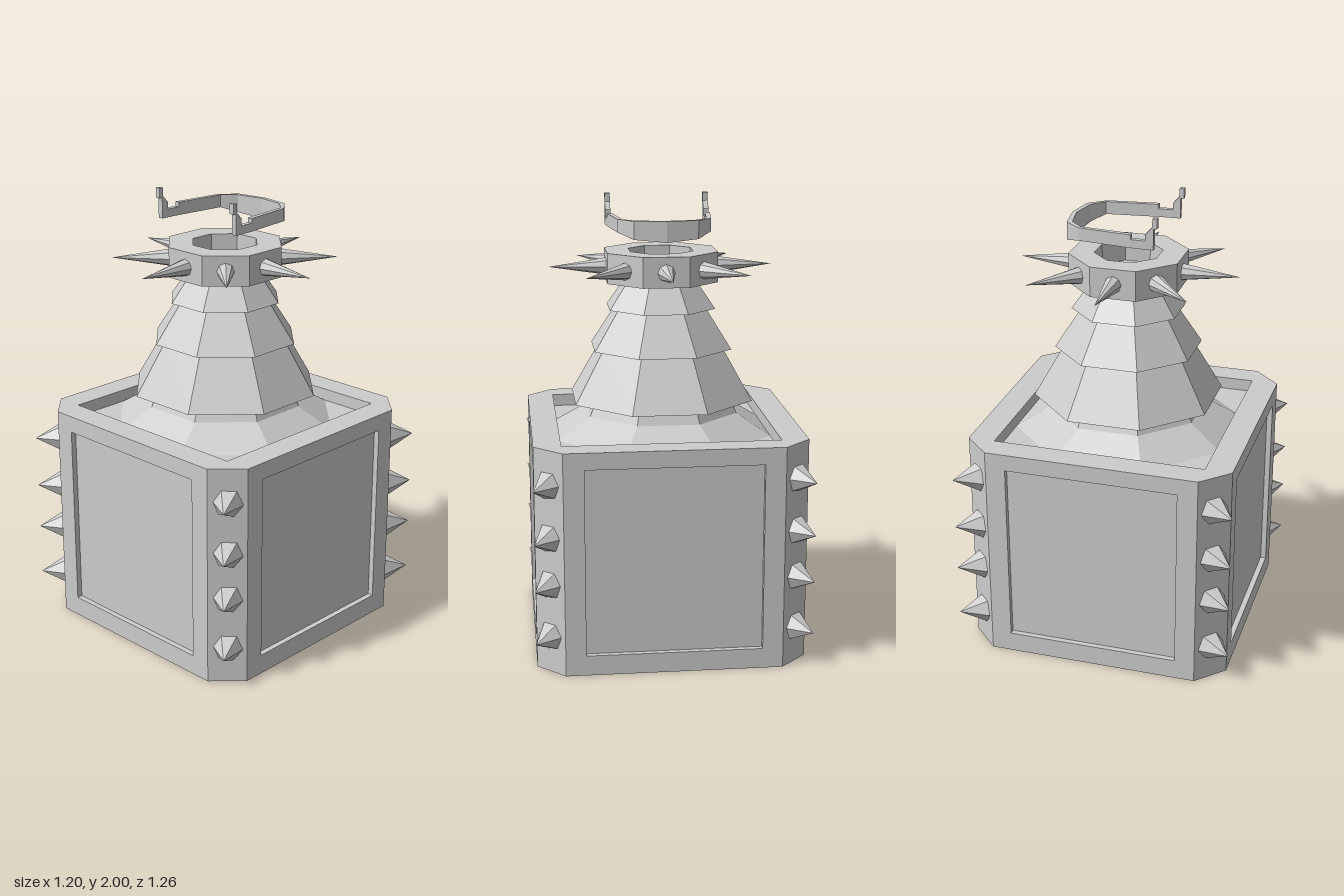
import * as THREE from 'three';

const grey = new THREE.MeshStandardMaterial({ color: 0xcccccc });
grey.name = 'plain grey';

// flat-faceted mesh
function facet(name, geometry) {
  const g = geometry.index ? geometry.toNonIndexed() : geometry;
  g.computeVertexNormals();
  const mesh = new THREE.Mesh(g, grey);
  mesh.name = name;
  return mesh;
}

// eight-sided turned part; profile gives [distance to flat side, height], bottom to top
function octagonPart(name, profile) {
  const pts = profile.map(([a, y]) => new THREE.Vector2(a / Math.cos(Math.PI / 8), y));
  return facet(name, new THREE.LatheGeometry(pts, 8, Math.PI / 8));
}

// pointed spike from a base point to a tip
function spike(name, base, tip, radius, sides) {
  const dir = tip.clone().sub(base);
  const length = dir.length();
  const g = new THREE.ConeGeometry(radius, length, sides);
  g.translate(0, length / 2, 0);
  const mesh = facet(name, g);
  mesh.position.copy(base);
  mesh.quaternion.setFromUnitVectors(new THREE.Vector3(0, 1, 0), dir.normalize());
  return mesh;
}

function rectPath(PathType, x0, y0, x1, y1) {
  const p = new PathType();
  p.moveTo(x0, y0).lineTo(x1, y0).lineTo(x1, y1).lineTo(x0, y1).closePath();
  return p;
}

// box with bevelled corners, and flat sides set back to seat the panel frames
const HALF = 0.595, FLAT = 0.475, SET = 0.57, FLOOR = 0.945;
function boxOutline() {
  const pts = [];
  for (let i = 0; i < 4; i++) {
    for (const [x, y] of [[SET, FLAT], [HALF, FLAT], [FLAT, HALF], [FLAT, SET]]) {
      pts.push(new THREE.Vector2(x, y).rotateAround(new THREE.Vector2(), i * Math.PI / 2));
    }
  }
  return new THREE.Shape(pts);
}

function buildBox() {
  const box = new THREE.Group();
  box.name = 'box';
  const core = new THREE.ExtrudeGeometry(boxOutline(), { depth: FLOOR, bevelEnabled: false });
  core.rotateX(-Math.PI / 2);
  box.add(facet('boxCore', core));

  const rimShape = boxOutline();
  rimShape.holes.push(rectPath(THREE.Path, -FLAT, -FLAT, FLAT, FLAT));
  const rim = new THREE.ExtrudeGeometry(rimShape, { depth: 1 - FLOOR, bevelEnabled: false });
  rim.rotateX(-Math.PI / 2).translate(0, FLOOR, 0);
  box.add(facet('topRim', rim));

  // frames around the recessed side panels
  for (let i = 0; i < 4; i++) {
    const shape = rectPath(THREE.Shape, -FLAT, 0, FLAT, 1);
    shape.holes.push(rectPath(THREE.Path, -0.385, 0.09, 0.385, 0.925));
    const g = new THREE.ExtrudeGeometry(shape, { depth: HALF - SET, bevelEnabled: false });
    g.translate(0, 0, SET).rotateY(i * Math.PI / 2);
    box.add(facet('panelFrame', g));
  }

  // four studs down each bevelled corner
  for (const sx of [-1, 1]) for (const sz of [-1, 1]) for (const y of [0.165, 0.4, 0.61, 0.845]) {
    box.add(spike('cornerStud', new THREE.Vector3(sx * 0.53, y, sz * 0.53),
      new THREE.Vector3(sx * 0.602, y, sz * 0.628), 0.068, 6));
  }
  return box;
}

// floating hooked band: stations are [x, z, bottom, top], from the hook to the back centre
function buildBand() {
  const half = [
    [0.235, 0.19, 1.955, 2.0], [0.235, 0.175, 1.955, 2.0], [0.235, 0.175, 1.863, 2.0],
    [0.235, 0.17, 1.863, 2.0], [0.235, 0.17, 1.863, 1.963], [0.235, 0.14, 1.863, 1.93],
    [0.235, 0.14, 1.863, 1.9], [0.232, 0.075, 1.863, 1.9], [0.232, 0.075, 1.863, 1.92],
    [0.203, -0.16, 1.863, 1.92], [0.14, -0.235, 1.84, 1.92],
  ];
  const mirrored = half.map(([x, ...rest]) => [-x, ...rest]).reverse();
  const stations = [...half, [0, -0.257, 1.828, 1.92], ...mirrored];
  const pos = [], index = [];
  for (const [x, z, b, t] of stations) {
    const ix = x * 0.9, iz = z < -0.2 ? z + 0.02 : z;
    pos.push(x, b, z, x, t, z, ix, t, iz, ix, b, iz);
  }
  for (let s = 0; s < stations.length - 1; s++) {
    for (let k = 0; k < 4; k++) {
      const a = s * 4 + k, b = s * 4 + (k + 1) % 4;
      index.push(a, a + 4, b, b, a + 4, b + 4);
    }
  }
  const e = (stations.length - 1) * 4;
  index.push(0, 1, 2, 0, 2, 3, e, e + 2, e + 1, e, e + 3, e + 2);
  const g = new THREE.BufferGeometry();
  g.setAttribute('position', new THREE.Float32BufferAttribute(pos, 3));
  g.setIndex(index);
  return facet('hookedBand', g);
}

export function createModel() {
  const model = new THREE.Group();
  model.name = 'spikedBox';
  model.add(buildBox());

  // stepped neck
  model.add(octagonPart('neckBase', [[0.475, FLOOR], [0.33, 1.04], [0.305, 1.1]]));
  const tiers = [
    [[0.305, 1.1], [0.395, 1.1], [0.27, 1.33]],
    [[0.27, 1.33], [0.305, 1.33], [0.195, 1.51]],
    [[0.195, 1.51], [0.235, 1.51], [0.155, 1.63]],
  ];
  for (const tier of tiers) model.add(octagonPart('neckTier', tier));

  // hollow collar with eight long spikes
  model.add(octagonPart('collar', [
    [0.155, 1.63], [0.245, 1.63], [0.245, 1.765], [0.14, 1.765], [0.14, 1.67], [0, 1.67],
  ]));
  for (let i = 0; i < 8; i++) {
    const a = i * Math.PI / 4;
    const at = (r) => new THREE.Vector3(r * Math.sin(a), 1.695, r * Math.cos(a));
    model.add(spike('collarSpike', at(0.22), at(0.5), 0.042, 8));
  }

  model.add(buildBand());
  return model;
}
